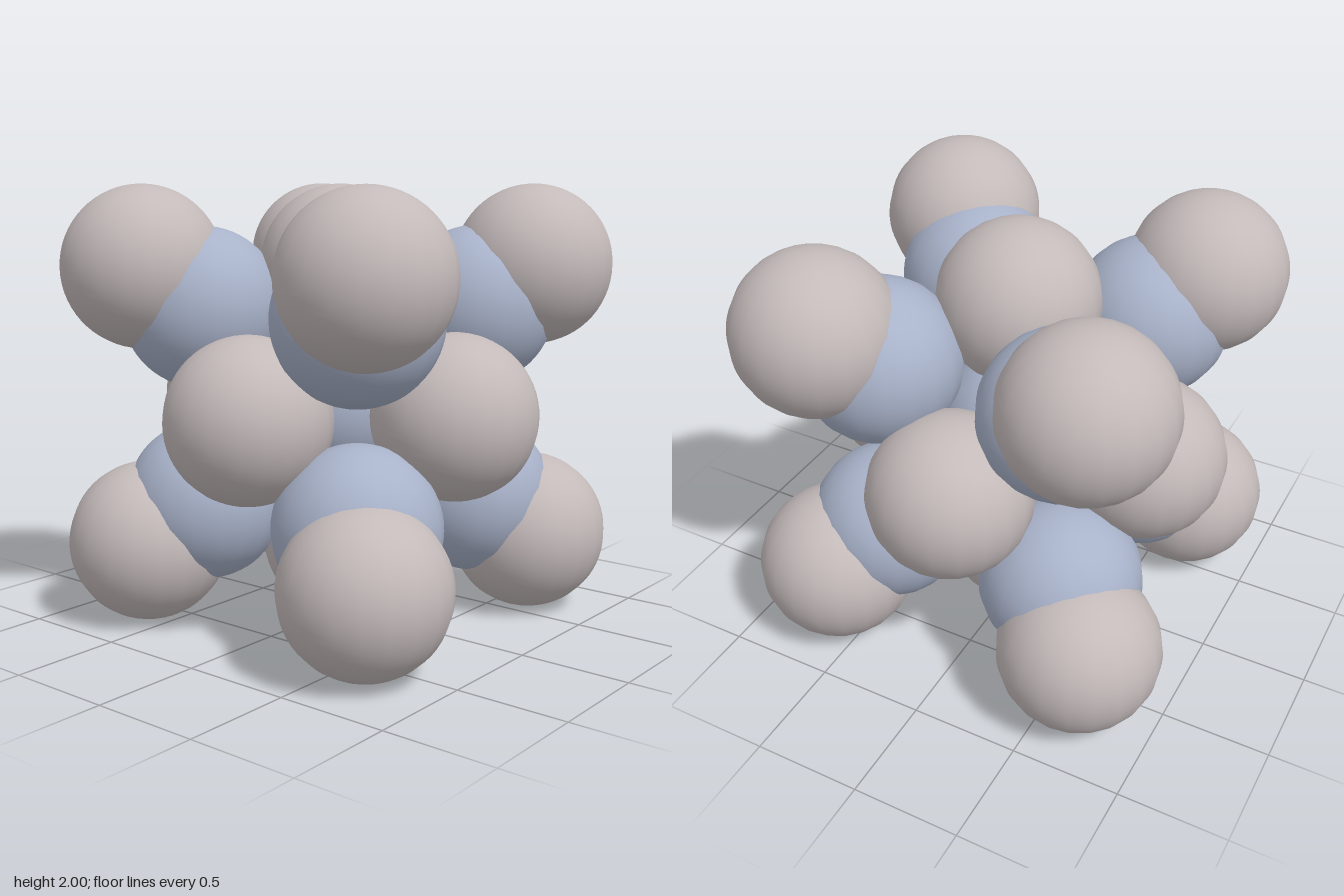
import * as THREE from 'three';

const RADIUS = 0.368;
const CORNER = 0.632; // outer corners and face centres
const INNER = 0.445; // inner cube

export function createModel() {
  const group = new THREE.Group();
  const ball = new THREE.SphereGeometry(RADIUS, 20, 32);
  const grey = new THREE.MeshStandardMaterial({ color: 0xc4baba });
  const blue = new THREE.MeshStandardMaterial({ color: 0xa8b2c9 });

  function addBall(name, material, x, y, z) {
    const mesh = new THREE.Mesh(ball, material);
    mesh.name = name;
    mesh.position.set(x, y + 1, z);
    group.add(mesh);
  }

  // Eight diagonal pairs: a blue inner ball with a grey ball on its outside
  for (const x of [-1, 1]) for (const y of [-1, 1]) for (const z of [-1, 1]) {
    addBall('innerBall', blue, x * INNER, y * INNER, z * INNER);
    addBall('cornerBall', grey, x * CORNER, y * CORNER, z * CORNER);
  }

  // One grey ball at the centre of each face
  for (const s of [-CORNER, CORNER]) {
    addBall('faceBall', grey, s, 0, 0);
    addBall('faceBall', grey, 0, s, 0);
    addBall('faceBall', grey, 0, 0, s);
  }

  // Core
  addBall('centreBall', blue, 0, 0, 0);
  return group;
}
